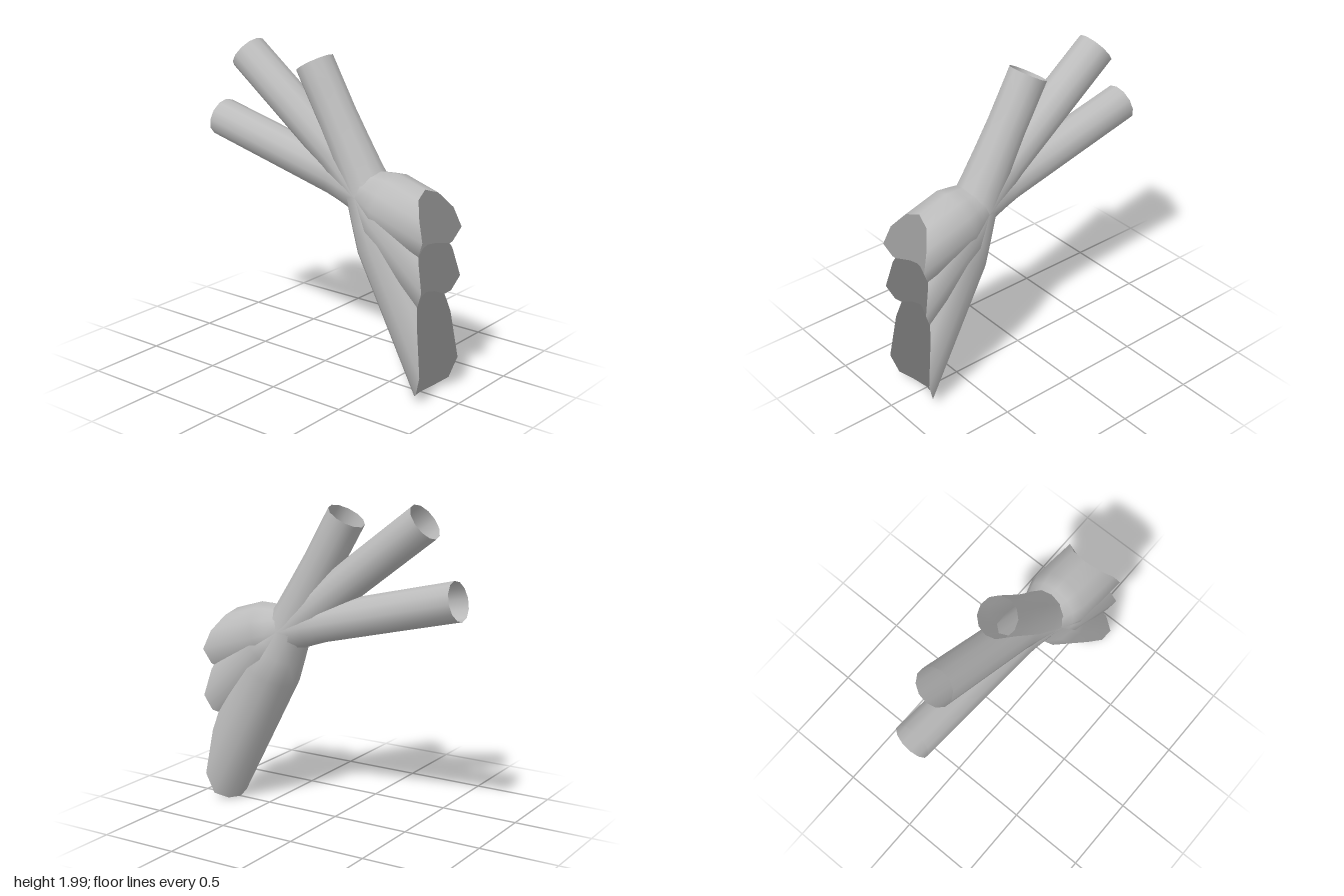
import * as THREE from 'three';

const SIDES = 12;
const CENTRE = new THREE.Vector3(0, 1.175, 0.335); // where the three pipes cross

// pipe radius at each depth, from the wide mouth to the narrow tail
const PROFILE = [[0.48, 0.2], [0.41, 0.175], [0.345, 0.15], [0.27, 0.136], [0.186, 0.127], [0.09, 0.12]];

// each pipe: height of the mouth, then height and depth of the tail
const PIPES = [
  { name: 'upperMouthPipe', mouthY: 1.02, tail: [1.467, -0.828] },
  { name: 'middleMouthPipe', mouthY: 0.72, tail: [1.905, -0.605] },
  { name: 'lowerMouthPipe', mouthY: 0.2, tail: [1.902, -0.08] },
];

// curve parameter at which the path reaches depth z (z falls along the path)
function paramAtDepth(curve, z) {
  let lo = 0, hi = 1;
  for (let i = 0; i < 30; i++) {
    const mid = (lo + hi) / 2;
    if (curve.getPoint(mid).z > z) lo = mid; else hi = mid;
  }
  return (lo + hi) / 2;
}

// one ring of points around the path
function ring(curve, t, radius) {
  const c = curve.getPoint(t);
  const d = curve.getTangent(t);
  const points = [];
  for (let j = 0; j < SIDES; j++) {
    const a = (j / SIDES) * Math.PI * 2;
    const n = Math.sin(a) * radius;
    points.push(new THREE.Vector3(Math.cos(a) * radius, c.y + d.z * n, c.z - d.y * n));
  }
  return points;
}

function makePipe({ name, mouthY, tail }, material) {
  const [tailY, tailZ] = tail;
  const curve = new THREE.CatmullRomCurve3([
    new THREE.Vector3(0, mouthY, 0.855),
    CENTRE,
    new THREE.Vector3(0, tailY, tailZ),
  ]);

  // mouth ring, slid along the pipe onto an upright round saddle
  const dir = curve.getTangent(0);
  const mouth = ring(curve, 0, 0.2);
  for (const p of mouth) {
    const saddleZ = 0.9525 - Math.sqrt(0.0495 - p.x * p.x);
    p.addScaledVector(dir, (saddleZ - p.z) / dir.z);
  }

  const rings = [mouth];
  for (const [z, r] of PROFILE) {
    if (z > tailZ + 0.05) rings.push(ring(curve, paramAtDepth(curve, z), r));
  }
  rings.push(ring(curve, paramAtDepth(curve, (0.09 + tailZ) / 2), 0.12));
  rings.push(ring(curve, 1, 0.12));

  // wall
  const index = [];
  for (let i = 0; i < rings.length - 1; i++) {
    for (let j = 0; j < SIDES; j++) {
      const k = (j + 1) % SIDES;
      const a = i * SIDES + j, b = i * SIDES + k;
      index.push(a, b, a + SIDES, b, b + SIDES, a + SIDES);
    }
  }
  const wall = new THREE.BufferGeometry().setFromPoints(rings.flat());
  wall.setIndex(index);
  wall.computeVertexNormals();

  // mouth cap: a fan around the mean point, shaded as one face
  const hub = new THREE.Vector3();
  mouth.forEach((p) => hub.addScaledVector(p, 1 / SIDES));
  const cap = new THREE.BufferGeometry().setFromPoints([...mouth, hub]);
  const fan = [];
  const normals = [];
  for (let j = 0; j < SIDES; j++) fan.push(SIDES, (j + 1) % SIDES, j);
  for (let j = 0; j <= SIDES; j++) normals.push(-dir.x, -dir.y, -dir.z);
  cap.setIndex(fan);
  cap.setAttribute('normal', new THREE.Float32BufferAttribute(normals, 3));

  const group = new THREE.Group();
  group.name = name;
  const wallMesh = new THREE.Mesh(wall, material);
  wallMesh.name = 'pipeWall';
  const capMesh = new THREE.Mesh(cap, material);
  capMesh.name = 'mouthCap';
  group.add(wallMesh, capMesh);
  return group;
}

export function createModel() {
  const material = new THREE.MeshStandardMaterial({ color: 0xbcbcbc, side: THREE.DoubleSide });
  material.name = 'plain grey';
  const model = new THREE.Group();
  model.name = 'crossedPipes';
  for (const pipe of PIPES) model.add(makePipe(pipe, material));
  return model;
}
